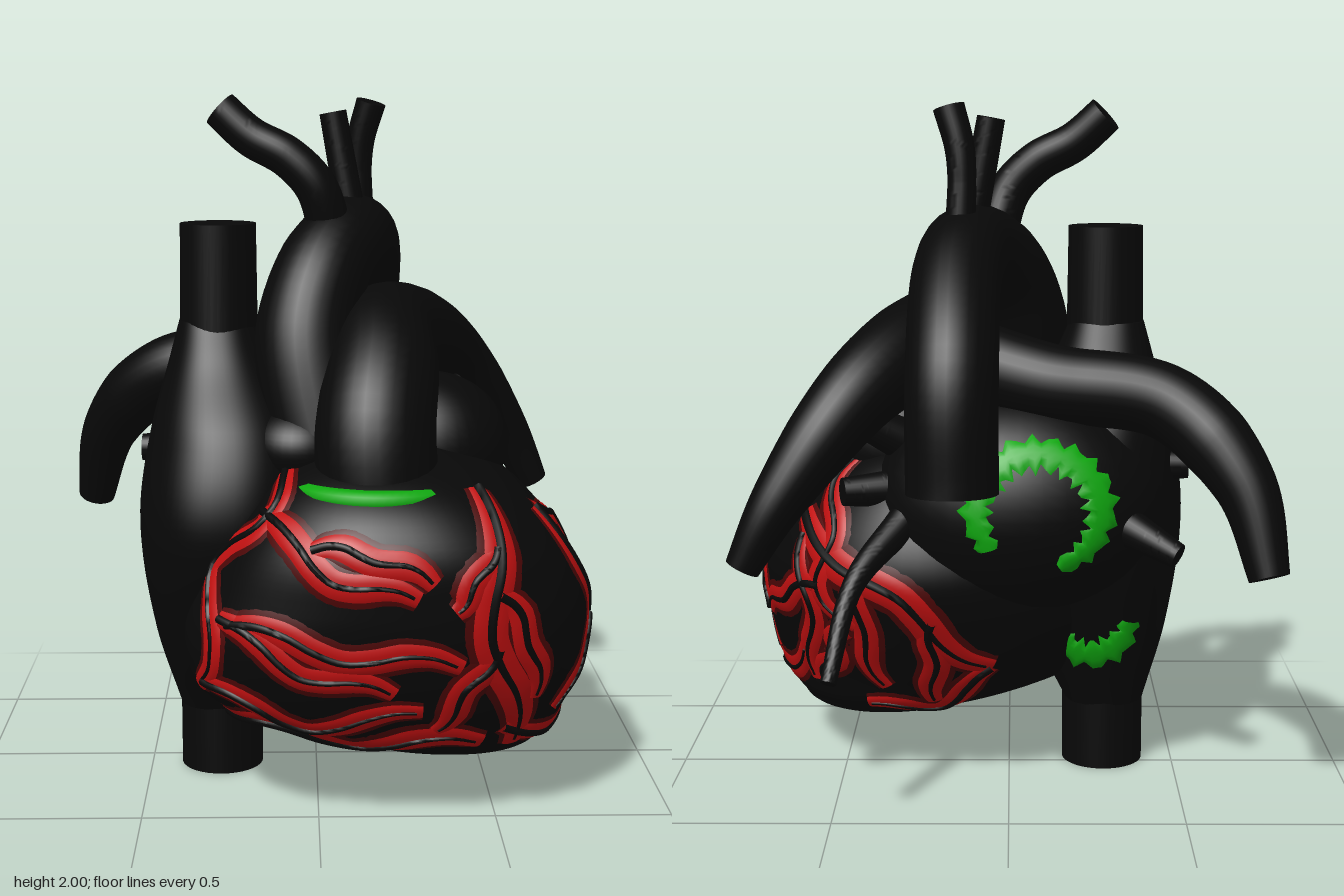
import * as THREE from 'three';
import { toCreasedNormals } from 'three/addons/utils/BufferGeometryUtils.js';

const mat = (color, side = THREE.FrontSide) => new THREE.MeshStandardMaterial({ color, side });
const DARK = mat(0x080808);
const RED = mat(0xc01010, THREE.DoubleSide);
const DEEP_RED = mat(0x4c0606, THREE.DoubleSide);
const GREEN = mat(0x10a810, THREE.DoubleSide);
const V = (p) => new THREE.Vector3(...p);

// Body described by level rows [y, xMin, xMax, zMin, zMax], superellipse cross-sections
// whose left and right ends curl forward by the bend factor
function body(rows, n, bend) {
  const y0 = rows[0][0], y1 = rows[rows.length - 1][0];
  const spline = new THREE.CubicInterpolant(rows.map((r) => r[0]), rows.flatMap((r) => r.slice(1)), 4);
  const ring = (y) => {
    const [a, b, c, d] = spline.evaluate(THREE.MathUtils.clamp(y, y0, y1));
    return { cx: (a + b) / 2, rx: (b - a) / 2, cz: (c + d) / 2, rz: (d - c) / 2 };
  };
  const field = (p) => {
    const r = ring(p.y), dx = p.x - r.cx;
    return Math.abs(dx / r.rx) ** n + Math.abs((p.z - r.cz - bend * dx * dx) / r.rz) ** n - 1;
  };
  // Surface point hit from the front, back or left side at (horizontal, height)
  const hit = (face, h, y) => {
    const r = ring(y);
    const limit = (v) => THREE.MathUtils.clamp(v, -0.985, 0.985);
    const other = (v) => (1 - Math.abs(v) ** n) ** (1 / n);
    if (face === 'side') {
      const v = limit((h - r.cz) / r.rz);
      return snap(field, new THREE.Vector3(r.cx + r.rx * other(v), y, r.cz + r.rz * v));
    }
    const u = limit((h - r.cx) / r.rx), dx = r.rx * u;
    return new THREE.Vector3(r.cx + dx, y, r.cz + bend * dx * dx + r.rz * other(u) * (face === 'back' ? -1 : 1));
  };
  const M = 72, N = 64, pos = [], idx = [];
  for (let i = 0; i <= N; i++) {
    const y = y0 + (y1 - y0) * (0.5 - 0.5 * Math.cos(Math.PI * i / N));
    const r = ring(y);
    for (let j = 0; j < M; j++) {
      const t = j / M * Math.PI * 2, c = Math.cos(t), s = Math.sin(t);
      const k = (Math.abs(c) ** n + Math.abs(s) ** n) ** (-1 / n), dx = r.rx * c * k;
      pos.push(r.cx + dx, y, r.cz + bend * dx * dx + r.rz * s * k);
    }
  }
  const bot = (N + 1) * M, rb = ring(y0), rt = ring(y1);
  pos.push(rb.cx, y0, rb.cz, rt.cx, y1, rt.cz);
  for (let j = 0; j < M; j++) {
    const k = (j + 1) % M;
    for (let i = 0; i < N; i++) {
      const a = i * M + j, b = i * M + k;
      idx.push(a, a + M, b, b, a + M, b + M);
    }
    idx.push(bot, j, k, bot + 1, N * M + k, N * M + j);
  }
  const geometry = new THREE.BufferGeometry();
  geometry.setAttribute('position', new THREE.Float32BufferAttribute(pos, 3));
  geometry.setIndex(idx);
  geometry.computeVertexNormals();
  return { geometry, field, hit };
}

// Surface normal and nearest surface point of a body
function gradient(field, p) {
  const e = 1e-3;
  const slope = (axis) => {
    const a = p.clone(), b = p.clone();
    a[axis] += e;
    b[axis] -= e;
    return (field(a) - field(b)) / (2 * e);
  };
  return new THREE.Vector3(slope('x'), slope('y'), slope('z'));
}
function snap(field, p) {
  const q = p.clone();
  for (let i = 0; i < 3; i++) {
    const g = gradient(field, q);
    q.addScaledVector(g, -field(q) / Math.max(g.lengthSq(), 1e-4));
  }
  return q;
}

// Thin band lying on a body along a curve
function band(field, curve, width, height, ragged = 0) {
  const N = Math.max(10, Math.ceil(curve.getLength() / 0.02)), A = 6, pos = [], idx = [];
  for (let i = 0; i <= N; i++) {
    const p = snap(field, curve.getPointAt(i / N)), n = gradient(field, p).normalize();
    const side = curve.getTangentAt(i / N).cross(n).normalize();
    const taper = 0.6 + 0.4 * Math.min(1, 4 * Math.min(i, N - i) / N);
    const w = width * taper * (1 + ragged * Math.sin(i * 2.4));
    for (let j = 0; j <= A; j++) {
      const s = j / A * 2 - 1;
      const q = snap(field, p.clone().addScaledVector(side, w * s)).addScaledVector(n, height * (1 - s ** 4) - 0.002 * s * s);
      pos.push(q.x, q.y, q.z);
      if (i < N && j < A) {
        const a = i * (A + 1) + j, b = a + A + 1;
        idx.push(a, a + 1, b, a + 1, b + 1, b);
      }
    }
  }
  const g = new THREE.BufferGeometry();
  g.setAttribute('position', new THREE.Float32BufferAttribute(pos, 3));
  g.setIndex(idx);
  g.computeVertexNormals();
  return g;
}

// Tapered tube with a flat closed end
function vessel(points, radii, sides = 28, T = 56) {
  const curve = new THREE.CatmullRomCurve3(points);
  const g = new THREE.TubeGeometry(curve, T, 1, sides), p = g.attributes.position, v = new THREE.Vector3();
  for (let i = 0; i <= T; i++) {
    const f = i / T * (radii.length - 1), k = Math.min(Math.floor(f), radii.length - 2);
    const r = i === T ? 0 : THREE.MathUtils.lerp(radii[k], radii[k + 1], f - k);
    const c = curve.getPointAt(i / T), to = curve.getPointAt(Math.min(i, T - 1) / T);
    for (let j = 0; j <= sides; j++) {
      const a = i * (sides + 1) + j;
      v.fromBufferAttribute(p, a).sub(c).multiplyScalar(r).add(to);
      p.setXYZ(a, v.x, v.y, v.z);
    }
  }
  return toCreasedNormals(g, 0.8);
}

export function createModel() {
  const root = new THREE.Group();
  const add = (name, geometry, material = DARK, at = [0, 0, 0], scale = [1, 1, 1]) => {
    const m = new THREE.Mesh(geometry, material);
    m.name = name;
    m.position.set(...at);
    m.scale.set(...scale);
    root.add(m);
  };
  const tube = (name, radii, ...points) => add(name, vessel(points.map(V), radii));

  // Chambers
  const ventricles = body([
    [0.145, 0.38, 0.5, 0.15, 0.27], [0.16, 0.2, 0.6, 0, 0.42], [0.2, 0, 0.66, -0.1, 0.51],
    [0.3, -0.29, 0.72, -0.2, 0.6], [0.45, -0.38, 0.76, -0.3, 0.68], [0.65, -0.34, 0.76, -0.37, 0.725],
    [0.85, -0.22, 0.64, -0.3, 0.7], [0.97, -0.11, 0.5, -0.21, 0.56], [1.05, 0.02, 0.32, -0.02, 0.32]], 2.15, 0.28);
  const rightAtrium = body([
    [0.2, -0.41, -0.17, -0.07, 0.17], [0.45, -0.48, -0.05, -0.17, 0.32], [0.8, -0.52, 0, -0.27, 0.44],
    [1.05, -0.485, -0.02, -0.26, 0.37], [1.25, -0.43, -0.13, -0.13, 0.22], [1.36, -0.4, -0.18, -0.05, 0.16]], 2.3, 0);
  const ball = new THREE.SphereGeometry(1, 40, 28);
  const laCentre = [-0.03, 0.85, -0.11], laRadius = [0.43, 0.33, 0.33];
  add('ventricles', ventricles.geometry);
  add('rightAtrium', rightAtrium.geometry);
  add('leftAtrium', ball, DARK, laCentre, laRadius);
  add('leftAuricle', ball, DARK, [0.33, 1, 0.1], [0.23, 0.21, 0.22]);
  add('rightAuricle', ball, DARK, [-0.05, 1.02, 0.22], [0.16, 0.12, 0.17]);

  // Great veins
  add('upperVenaCava', new THREE.CylinderGeometry(0.11, 0.115, 0.44, 36), DARK, [-0.285, 1.42, 0.06]);
  add('lowerVenaCava', new THREE.CylinderGeometry(0.123, 0.123, 0.3, 36), DARK, [-0.287, 0.15, 0.05]);

  // Aorta and its arch branches
  tube('aorta', [0.16, 0.15, 0.125, 0.125, 0.125], [0.05, 0.9, 0.25], [-0.03, 1.3, 0.15], [0.02, 1.5, 0.05],
    [0.1, 1.585, -0.1], [0.14, 1.54, -0.3], [0.15, 1.29, -0.57], [0.15, 0.94, -0.605]);
  tube('archBranchRight', [0.065, 0.06, 0.055], [0.05, 1.58, 0], [0, 1.74, 0.035], [-0.08, 1.825, 0.03],
    [-0.19, 1.885, 0.01], [-0.285, 1.97, -0.01]);
  tube('archBranchMiddle', [0.045, 0.04], [0.12, 1.58, -0.1], [0.05, 1.96, -0.11]);
  tube('archBranchLeft', [0.045, 0.04, 0.045], [0.14, 1.56, -0.23], [0.135, 1.85, -0.21], [0.17, 1.99, -0.19]);

  // Pulmonary arteries
  tube('pulmonaryTrunk', [0.175, 0.165, 0.14, 0.1, 0.045], [0.17, 0.85, 0.39], [0.16, 1.08, 0.365], [0.18, 1.22, 0.25],
    [0.2, 1.31, 0.05], [0.4, 1.22, -0.33], [0.62, 0.94, -0.5], [0.74, 0.72, -0.53]);
  tube('rightPulmonaryArtery', [0.13, 0.11, 0.105, 0.055], [0.2, 1.28, -0.08], [-0.1, 1.21, -0.2],
    [-0.45, 1.16, -0.27], [-0.65, 0.96, -0.4], [-0.72, 0.69, -0.5]);

  // Pulmonary veins
  tube('lowerLeftVein', [0.05, 0.03, 0.022], [0.3, 0.82, -0.28], [0.43, 0.68, -0.45], [0.49, 0.44, -0.62]);
  tube('upperLeftVein', [0.07, 0.045], [0.25, 1, -0.12], [0.46, 1.12, -0.2]);
  tube('middleLeftVein', [0.06, 0.04], [0.28, 0.9, -0.18], [0.48, 0.9, -0.25]);
  tube('lowerRightVein', [0.07, 0.035], [-0.25, 0.85, -0.25], [-0.48, 0.74, -0.37]);
  tube('upperRightVein', [0.06, 0.04], [-0.3, 0.95, -0.08], [-0.53, 0.95, -0.09]);

  // One coronary artery with its red band: from (h0, y0) to (h1, y1), bowed sideways and slightly winding
  const coronary = (face, h0, y0, h1, y1, bow) => {
    const dh = h1 - h0, dy = y1 - y0, pts = [];
    for (let i = 0; i <= 8; i++) {
      const t = i / 8, off = bow * Math.sin(Math.PI * t) + 0.04 * Math.sin(3 * Math.PI * t);
      pts.push(ventricles.hit(face, h0 + dh * t - dy * off, y0 + dy * t + dh * off));
    }
    const curve = new THREE.CatmullRomCurve3(pts);
    const w = Math.hypot(dh, dy) > 0.65 ? 1.2 : 0.95;
    add('coronaryHalo', band(ventricles.field, curve, 0.07 * w, 0.004), DEEP_RED);
    add('coronaryBand', band(ventricles.field, curve, 0.052 * w, 0.008), RED);
    const line = curve.getSpacedPoints(24).map((q) => {
      const p = snap(ventricles.field, q);
      return p.addScaledVector(gradient(ventricles.field, p).normalize(), 0.006);
    });
    add('coronaryArtery', vessel(line, [0.013 * w, 0.011 * w, 0.005], 8, 40));
  };
  const front = [
    [-0.08, 0.98, -0.33, 0.38, -0.1], [-0.15, 0.88, 0.26, 0.7, -0.08], [-0.02, 0.82, 0.3, 0.74, 0.1],
    [-0.27, 0.6, 0.2, 0.42, -0.05], [-0.25, 0.59, 0.38, 0.5, 0], [-0.32, 0.4, 0.28, 0.36, -0.12],
    [-0.25, 0.29, 0.45, 0.24, -0.03], [0.43, 0.95, 0.54, 0.22, 0], [0.475, 0.7, 0.59, 0.38, 0.12],
    [0.48, 0.55, 0.32, 0.29, 0], [0.47, 0.82, 0.36, 0.66, 0]];
  const side = [
    [0.4, 0.87, 0.18, 0.3, 0.1], [0.4, 0.87, 0.08, 0.6, -0.15], [-0.06, 0.97, -0.28, 0.5, -0.12],
    [-0.26, 0.62, 0.09, 0.46, 0], [0.09, 0.46, 0.11, 0.6, 0], [-0.26, 0.48, -0.08, 0.27, 0],
    [0.54, 0.3, -0.1, 0.38, 0.15], [0.34, 0.55, 0.46, 0.33, 0]];
  const back = [
    [0.6, 0.8, 0.05, 0.38, 0], [0.42, 0.7, 0.36, 0.3, 0.1], [0.22, 0.54, 0.22, 0.25, 0],
    [0.6, 0.75, 0.58, 0.28, 0], [0.05, 0.38, 0.42, 0.23, -0.2]];
  front.forEach((c) => coronary('front', ...c));
  side.forEach((c) => coronary('side', ...c));
  back.forEach((c) => coronary('back', ...c));

  // Green fat around the pulmonary root and in ragged arcs on the back of the atria
  const collar = new THREE.TorusGeometry(0.2, 0.04, 10, 60).rotateX(Math.PI / 2);
  add('rootCollar', collar, GREEN, [0.17, 0.935, 0.39], [1.05, 0.7, 1]);
  const laField = (p) => p.toArray().reduce((s, v, i) => s + ((v - laCentre[i]) / laRadius[i]) ** 2, -1);
  const fatArc = (field, x, y, z, r, from, to) => {
    const pts = [];
    for (let i = 0; i <= 8; i++) {
      const a = (from + (to - from) * i / 8) * Math.PI;
      pts.push(snap(field, new THREE.Vector3(x + r * Math.cos(a), y + r * Math.sin(a), z)));
    }
    add('fatPatch', band(field, new THREE.CatmullRomCurve3(pts), 0.05, 0.008, 0.4), GREEN);
  };
  fatArc(laField, -0.09, 0.88, -0.41, 0.18, -0.2, 1.4);
  fatArc(rightAtrium.field, -0.23, 0.5, -0.15, 0.12, 1, 2);
  return root;
}
